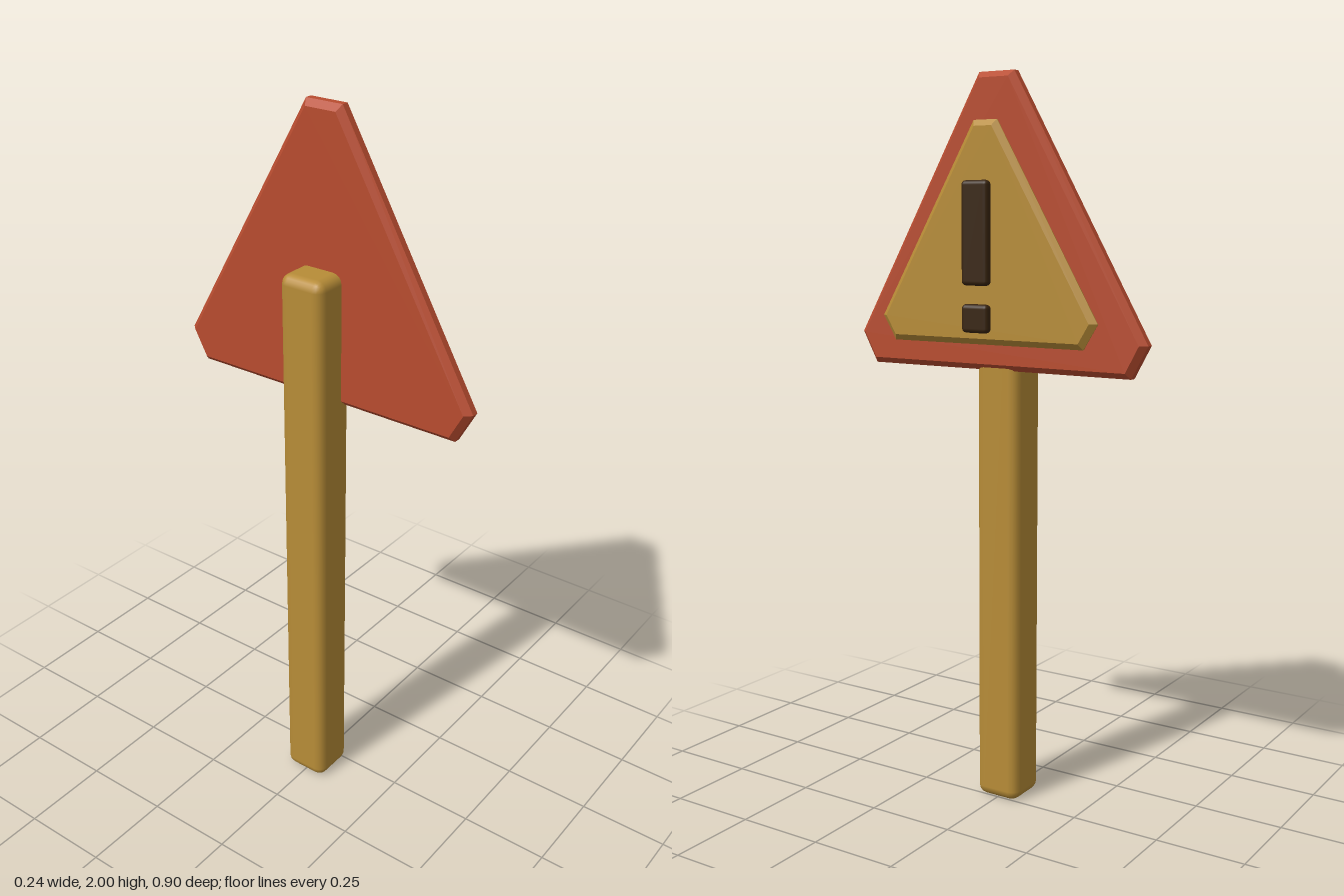
import * as THREE from 'three';
import { RoundedBoxGeometry } from 'three/addons/geometries/RoundedBoxGeometry.js';

const paint = (name, color) => {
  const m = new THREE.MeshStandardMaterial({ color });
  m.name = name;
  return m;
};

// Triangle plate with cut corners, facing +x; half is one side of the outline as [z, y]
function trianglePlate(half, x0, x1, bevel, inset) {
  const points = [...half, ...half.map(([z, y]) => [-z, y]).reverse()];
  const shape = new THREE.Shape(points.map(([z, y]) => new THREE.Vector2(z, y)));
  const geometry = new THREE.ExtrudeGeometry(shape, {
    depth: x1 - x0 - 2 * bevel,
    bevelEnabled: true,
    bevelThickness: bevel,
    bevelSize: inset,
    bevelOffset: -inset,
    bevelSegments: 1,
  });
  geometry.rotateY(Math.PI / 2);
  geometry.translate(x0 + bevel, 0, 0);
  return geometry;
}

// Material 0 for triangles in front of the plane x = mid, material 1 behind it
function splitFrontBack(geometry, mid) {
  const p = geometry.attributes.position;
  geometry.clearGroups();
  for (let i = 0; i < p.count; i += 3) {
    const x = (p.getX(i) + p.getX(i + 1) + p.getX(i + 2)) / 3;
    geometry.addGroup(i, 3, x > mid ? 0 : 1);
  }
  return geometry;
}

// Rounded block given by its extents
function block(x0, x1, y0, y1, halfZ, radius) {
  const g = new RoundedBoxGeometry(x1 - x0, y1 - y0, 2 * halfZ, 2, radius);
  g.translate((x0 + x1) / 2, (y0 + y1) / 2, 0);
  return g;
}

export function createModel() {
  const ochre = paint('ochre', 0xb78c37);
  const red = paint('signal red', 0xb84c2f);
  const olive = paint('olive', 0x968529);
  const dark = paint('dark brown', 0x38240f);

  const sign = new THREE.Group();
  sign.name = 'warningSign';
  const add = (name, geometry, material) => {
    const mesh = new THREE.Mesh(geometry, material);
    mesh.name = name;
    sign.add(mesh);
  };

  // Post
  add('post', block(-0.12, 0.012, 0, 1.585, 0.066, 0.027), ochre);

  // Red border plate
  add('borderPlate', trianglePlate(
    [[0.405, 1.22], [0.452, 1.307], [0.054, 2.0]], -0.031, 0.022, 0.017, 0.016), red);

  // Yellow panel floating in front, with an olive rear half
  add('panel', splitFrontBack(trianglePlate(
    [[0.296, 1.293], [0.337, 1.36], [0.036, 1.874]], 0.044, 0.073, 0.0135, 0.016), 0.0585),
    [ochre, olive]);

  // Exclamation mark
  add('markBar', block(0.089, 0.118, 1.45, 1.72, 0.041, 0.012), dark);
  add('markDot', block(0.089, 0.118, 1.327, 1.402, 0.041, 0.012), dark);

  return sign;
}
